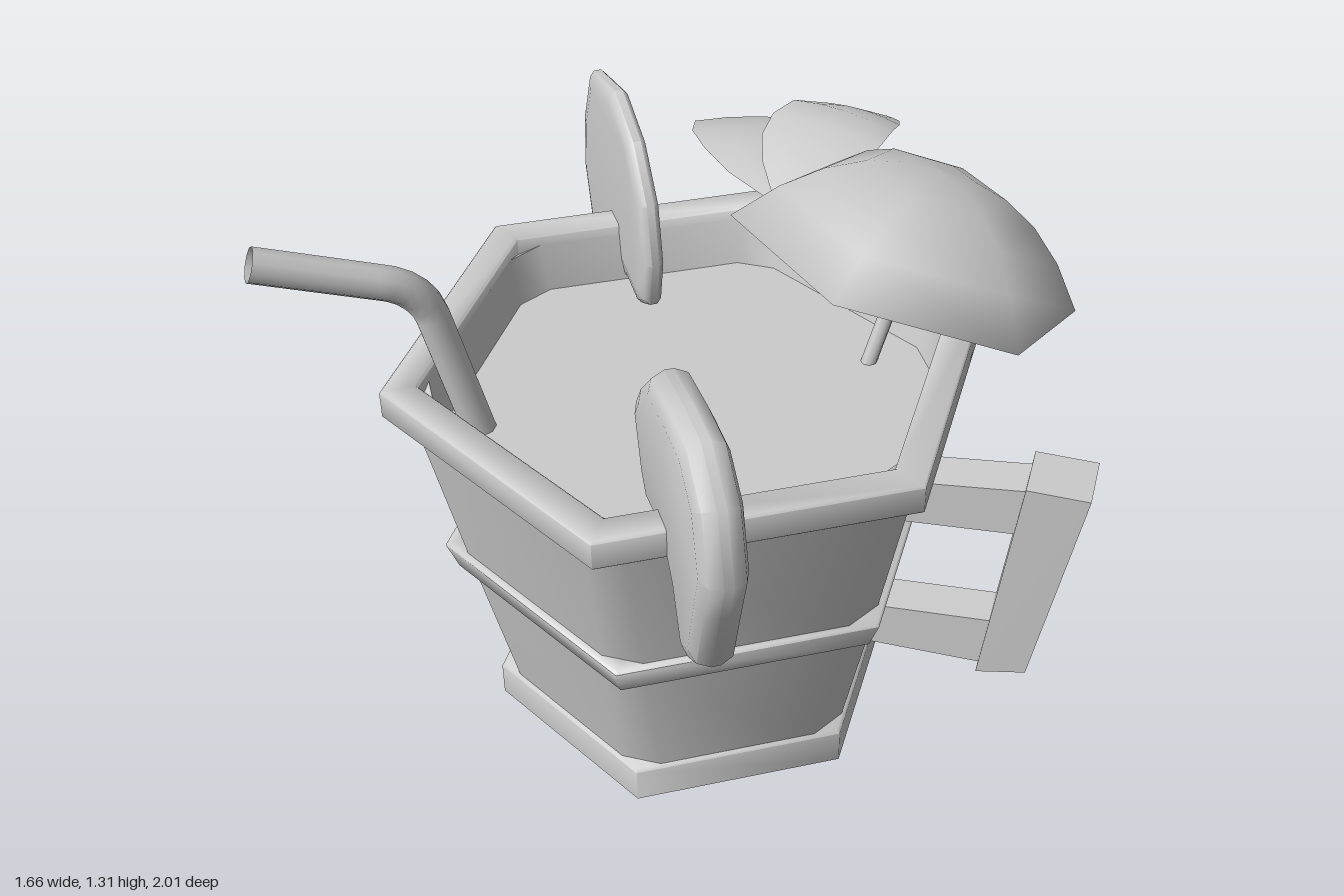
import * as THREE from 'three';
import { toCreasedNormals } from 'three/addons/utils/BufferGeometryUtils.js';

const V2 = (p) => new THREE.Vector2(p[0], p[1]);
const V3 = (p) => new THREE.Vector3(p[0], p[1], p[2]);
const CX = -0.055, CZ = 0.2, HEX = 1 / Math.cos(Math.PI / 6);

export function createModel() {
  const model = new THREE.Group();
  model.name = 'tikiBucketDrink';
  const grey = new THREE.MeshStandardMaterial({ color: 0xcccccc });
  grey.name = 'lightGrey';
  const greyThin = new THREE.MeshStandardMaterial({ color: 0xcccccc, side: THREE.DoubleSide });
  greyThin.name = 'lightGreyThin';

  const add = (name, geometry, material = grey) => {
    const mesh = new THREE.Mesh(geometry, material);
    mesh.name = name;
    model.add(mesh);
    return mesh;
  };

  // Six-sided turned part; the profile gives [apothem, y] and is walked upward on the outside
  const hexPart = (name, profile) => {
    const geo = new THREE.LatheGeometry(profile.map(([a, y]) => V2([a * HEX, y])), 6);
    const mesh = add(name, toCreasedNormals(geo, 1.2));
    mesh.position.set(CX, 0, CZ);
  };

  // Closed band with softened edges
  const band = (name, inner, low, high, y0, y1, b = 0.005) => hexPart(name, [
    [inner, y0], [low - b, y0], [low, y0 + b], [high, y1 - b], [high - b, y1],
    [inner + b, y1], [inner, y1 - b], [inner, y0],
  ]);

  // Bucket wall: each of the six corners is cut off by a narrow facet
  const wall = [[0.392, 0.06], [0.468, 0.45], [0.545, 0.87], [0.505, 0.9], [0.475, 0.76]];
  const wallGeo = new THREE.LatheGeometry(wall.map(([a, y]) => V2([a * HEX, y])), 12);
  const pos = wallGeo.attributes.position;
  for (let i = 0; i <= 12; i++) {
    const side = i % 2 ? 1 : -1;
    const corner = (Math.floor(i / 2) * Math.PI) / 3;
    wall.forEach(([a, y], j) => {
      const r = a * HEX - 0.026;
      const phi = corner + side * Math.atan(0.045 / r);
      const d = Math.hypot(r, 0.045);
      pos.setXYZ(i * wall.length + j, Math.sin(phi) * d, y, Math.cos(phi) * d);
    });
  }
  add('bucketWall', toCreasedNormals(wallGeo, 0.9)).position.set(CX, 0, CZ);

  // Hoops, base and drink surface
  band('topRim', 0.505, 0.575, 0.575, 0.857, 0.927);
  band('middleHoop', 0.44, 0.468, 0.49, 0.41, 0.487);
  hexPart('base', [[0, 0], [0.406, 0], [0.406, 0.083], [0.399, 0.09], [0, 0.09]]);
  hexPart('drinkSurface', [[0.485, 0.79], [0, 0.79]]);

  // Handle: two arms and a slanted, tapered grip
  const plank = (name, pts, halfTop, halfBottom = halfTop) => {
    const geo = new THREE.ExtrudeGeometry(new THREE.Shape(pts.map(V2)), { depth: 2, bevelEnabled: false });
    const p = geo.attributes.position;
    for (let i = 0; i < p.count; i++) {
      const half = p.getY(i) > 0.46 ? halfTop : halfBottom;
      p.setZ(i, CZ + (p.getZ(i) - 1) * half);
    }
    geo.computeVertexNormals();
    add(name, geo);
  };
  plank('upperHandleArm', [[0.42, 0.58], [0.69, 0.6], [0.7, 0.722], [0.42, 0.69]], 0.048);
  plank('lowerHandleArm', [[0.32, 0.205], [0.66, 0.205], [0.66, 0.337], [0.34, 0.315]], 0.048);
  plank('handleGrip', [[0.622, 0.18], [0.733, 0.205], [0.827, 0.737], [0.69, 0.74]], 0.068, 0.055);

  // Bent straw
  const strawPath = new THREE.CurvePath();
  const bendIn = V3([-0.53, 1.1, 0.455]), bendOut = V3([-0.605, 1.192, 0.515]);
  strawPath.add(new THREE.LineCurve3(V3([-0.455, 0.75, 0.42]), bendIn));
  strawPath.add(new THREE.QuadraticBezierCurve3(bendIn, V3([-0.55, 1.168, 0.473]), bendOut));
  strawPath.add(new THREE.LineCurve3(bendOut, V3([-0.81, 1.28, 0.645])));
  add('straw', new THREE.TubeGeometry(strawPath, 24, 0.037, 10), greyThin);

  // Fruit slices hooked over the rim; outline is [distance along slice, y]
  const slice = (name, start, end, thickness, taper, outline) => {
    const bevel = thickness * taper;
    const geo = new THREE.ExtrudeGeometry(new THREE.Shape(outline.map(V2)), {
      depth: thickness - 2 * bevel, bevelThickness: bevel, bevelSize: 0.04, bevelOffset: -0.04, bevelSegments: 2,
    });
    geo.translate(0, 0, bevel - thickness / 2);
    const mesh = add(name, toCreasedNormals(geo, 0.8));
    mesh.position.set(start[0], 0, start[1]);
    mesh.rotation.y = Math.atan2(start[1] - end[1], end[0] - start[0]);
  };
  slice('frontFruitSlice', [-0.035, 0.53], [0.245, 0.98], 0.095, 0.4, [
    [0, 1.04], [0.05, 0.9], [0.1, 0.84], [0.22, 0.86], [0.28, 0.8], [0.33, 0.69], [0.375, 0.67],
    [0.45, 0.72], [0.51, 0.9], [0.545, 1.0], [0.5, 1.15], [0.4, 1.225], [0.28, 1.22], [0.14, 1.2], [0.05, 1.11],
  ]);
  slice('backFruitSlice', [-0.205, -0.03], [-0.525, -0.52], 0.05, 0.33, [
    [0, 0.95], [0.03, 0.83], [0.1, 0.79], [0.2, 0.8], [0.27, 0.7], [0.42, 0.685],
    [0.53, 0.76], [0.585, 0.9], [0.56, 1.05], [0.48, 1.2], [0.28, 1.25], [0.13, 1.2], [0.03, 1.09],
  ]);

  // Tilted paper parasol with its stick
  const parasol = new THREE.Group();
  parasol.name = 'parasol';
  const up = V3([0.256, 1, -0.279]).normalize();
  const front = V3([-0.364, 0.12, 0.095]);
  front.addScaledVector(up, -front.dot(up)).normalize();
  parasol.setRotationFromMatrix(new THREE.Matrix4().makeBasis(up.clone().cross(front), up, front));
  parasol.position.set(0.347, 1.018, -0.09);
  const R = 0.4, H = 0.225, dome = [[0.001, H - 0.03], [R * 0.5, H * 0.7], [R * 0.8, H * 0.3]];
  for (let i = 0; i <= 5; i++) {
    const t = i / 5;
    dome.push([Math.max(R * (1 - t), 0.0005), H * (1 - (1 - t) ** 2.4)]);
  }
  const canopy = new THREE.Mesh(new THREE.LatheGeometry(dome.map(V2), 6), greyThin);
  canopy.name = 'parasolCanopy';
  const stick = new THREE.Mesh(new THREE.CylinderGeometry(0.018, 0.018, 0.5, 8), grey);
  stick.name = 'parasolStick';
  stick.position.y = -0.05;
  parasol.add(canopy, stick);
  model.add(parasol);

  // Arching leaves: a spine, half widths along it and slightly drooping edges
  const leaf = (name, spine, widths, side) => {
    const curve = new THREE.CatmullRomCurve3(spine.map(V3));
    const rows = widths.length, cols = 5, verts = [], index = [];
    widths.forEach((w, i) => {
      const c = curve.getPoint(i / (rows - 1));
      for (let j = 0; j < cols; j++) {
        const u = (j / (cols - 1)) * 2 - 1;
        verts.push(c.x + side[0] * u * w, c.y - u * u * w * 0.1, c.z + side[1] * u * w);
        if (i < rows - 1 && j < cols - 1) {
          const a = i * cols + j, b = a + cols;
          index.push(a, a + 1, b, a + 1, b + 1, b);
        }
      }
    });
    const geo = new THREE.BufferGeometry();
    geo.setAttribute('position', new THREE.Float32BufferAttribute(verts, 3));
    geo.setIndex(index);
    geo.computeVertexNormals();
    add(name, geo, greyThin);
  };
  leaf('longLeaf', [[0.01, 0.96, -0.36], [-0.09, 0.985, -0.57], [-0.16, 0.935, -0.78], [-0.16, 0.785, -1.0]],
    [0.03, 0.11, 0.155, 0.175, 0.17, 0.13, 0.03], [0.97, -0.22]);
  leaf('shortLeaf', [[0.02, 0.97, -0.36], [0.03, 1.025, -0.52], [0.07, 1.04, -0.68], [0.15, 0.95, -0.84]],
    [0.05, 0.105, 0.14, 0.15, 0.14, 0.1, 0.035], [0.95, 0.31]);

  return model;
}
